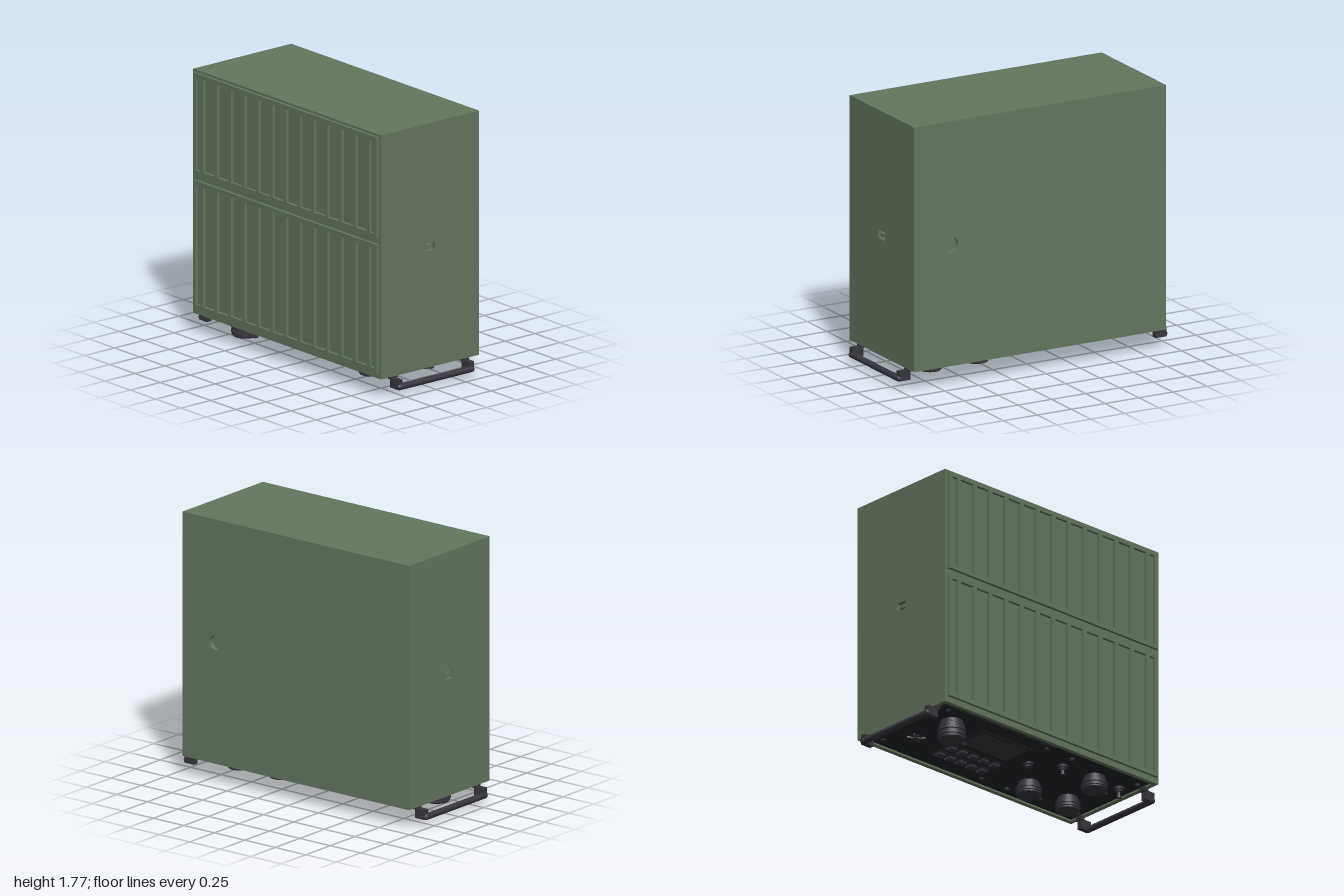
import * as THREE from 'three';
import { toCreasedNormals } from 'three/addons/utils/BufferGeometryUtils.js';

const green = new THREE.MeshStandardMaterial({ color: 0x64765f });
const black = new THREE.MeshStandardMaterial({ color: 0x222325 });
const dark = new THREE.MeshStandardMaterial({ color: 0x36363d });

const W = 0.93, BOTTOM = 0.13, TOP = 1.765, BACK = -0.42, FRONT = 0.4, SKIN = 0.03;
const PANEL = 0.143; // height of the control panel surface, which faces down

function add(parent, name, geometry, material) {
  const mesh = new THREE.Mesh(geometry, material);
  mesh.name = name;
  parent.add(mesh);
  return mesh;
}

// Box given by its limits on each axis
function box(parent, name, x0, x1, y0, y1, z0, z1, material) {
  const mesh = add(parent, name, new THREE.BoxGeometry(x1 - x0, y1 - y0, z1 - z0), material);
  mesh.position.set((x0 + x1) / 2, (y0 + y1) / 2, (z0 + z1) / 2);
  return mesh;
}

function cylinder(parent, name, r0, r1, y0, y1, x, z, material, sides = 24) {
  const geo = new THREE.CylinderGeometry(r1, r0, y1 - y0, sides);
  const mesh = add(parent, name, geo, material);
  mesh.position.set(x, (y0 + y1) / 2, z);
  return mesh;
}

function rect(Type, x0, x1, y0, y1) {
  const path = new Type();
  path.moveTo(x0, y0).lineTo(x1, y0).lineTo(x1, y1).lineTo(x0, y1).closePath();
  return path;
}

// Flat plate with holes, extruded along z
function plate(x0, x1, y0, y1, depth, holes) {
  const shape = rect(THREE.Shape, x0, x1, y0, y1);
  shape.holes.push(...holes);
  return new THREE.ExtrudeGeometry(shape, { depth, bevelEnabled: false, curveSegments: 24 });
}

function buildCase(root) {
  const g = new THREE.Group();
  g.name = 'case';
  root.add(g);
  box(g, 'caseCore', -W + SKIN, W - SKIN, 0.16, TOP - SKIN, BACK + SKIN, FRONT - SKIN, green);
  box(g, 'caseTop', -W, W, TOP - SKIN, TOP, BACK, FRONT, green);
  box(g, 'caseFront', -W, W, BOTTOM, TOP - SKIN, FRONT - SKIN, FRONT, green);

  // Back wall with a round recess
  const port = new THREE.Path().absarc(0.655, 0.94, 0.05, 0, Math.PI * 2, true);
  add(g, 'caseBack', plate(-W, W, BOTTOM, TOP - SKIN, SKIN, [port]), green).position.z = BACK;

  // Side walls with a small latch recess
  for (const side of [-1, 1]) {
    const latch = rect(THREE.Path, -0.03, 0.05, 0.91, 0.965);
    const geo = plate(-FRONT + SKIN, -BACK - SKIN, BOTTOM, TOP - SKIN, SKIN, [latch]);
    geo.rotateY(Math.PI / 2);
    add(g, 'caseSide', geo, green).position.x = side > 0 ? W - SKIN : -W;
    const x = side * (W - 0.018);
    box(g, 'latchBar', x - 0.012, x + 0.012, 0.925, 0.95, -0.035, 0.015, green);
  }
}

// Two raised covers on the front, cut by rows of upright slots
function buildFrontCovers(root) {
  const covers = [['lowerFrontCover', 0.17, 1.03, 0.2, 1.0], ['upperFrontCover', 1.07, 1.75, 1.1, 1.72]];
  for (const [name, y0, y1, s0, s1] of covers) {
    const slots = [];
    for (let i = 0; i < 12; i++) {
      const x = (i - 5.5) * 0.137;
      slots.push(rect(THREE.Path, x - 0.054, x + 0.054, s0, s1));
    }
    for (const x of [-0.861, 0.861]) slots.push(rect(THREE.Path, x - 0.024, x + 0.024, s0, s1));
    add(root, name, plate(-0.91, 0.91, y0, y1, 0.02, slots), green).position.z = FRONT;
  }
}

// Round control knob hanging from the panel, with ridges and a pointer tab
function buildKnob(root, x, z, r, y) {
  const g = new THREE.Group();
  g.name = 'knob';
  g.position.set(x, 0, z);
  root.add(g);
  const h = PANEL - y;
  const profile = [
    [0, 0], [0.86, 0], [0.93, 0.06], [0.93, 0.16], [1, 0.18], [1, 0.28], [0.93, 0.3], [0.93, 0.4],
    [1, 0.42], [1, 0.55], [0.9, 0.58], [0.9, 0.76], [0.8, 0.8], [0.8, 1],
  ].map(([a, b]) => new THREE.Vector2(a * r, y + b * h));
  add(g, 'knobBody', toCreasedNormals(new THREE.LatheGeometry(profile, 32), 0.5), dark);
  box(g, 'knobPointer', r * 0.85, r + 0.022, y + 0.006, y + 0.016, -0.012, 0.012, dark);
  box(g, 'knobMark', r * 0.35, r * 0.8, y - 0.001, y + 0.005, -0.005, 0.005, black);
}

// Toggle switch: collar, nut and lever
function buildSwitch(root, x, z, y) {
  const g = new THREE.Group();
  g.name = 'toggleSwitch';
  root.add(g);
  cylinder(g, 'switchCollar', 0.034, 0.036, PANEL - 0.015, PANEL, x, z, dark);
  cylinder(g, 'switchNut', 0.024, 0.024, PANEL - 0.03, PANEL - 0.015, x, z, dark, 6);
  cylinder(g, 'switchLever', 0.015, 0.009, y, PANEL - 0.03, x, z, dark, 12);
}

function buildPanel(root) {
  const g = new THREE.Group();
  g.name = 'controlPanel';
  root.add(g);
  box(g, 'panelPlate', -W + SKIN, W - SKIN, PANEL, 0.165, BACK + SKIN, FRONT - SKIN, black);
  box(g, 'displayPlate', -0.86, 0.09, PANEL - 0.006, PANEL, -0.35, 0.34, black);

  // Display window in a thin frame
  const frame = plate(-0.44, -0.01, -0.23, 0.02, 0.008, [rect(THREE.Path, -0.42, -0.03, -0.21, 0)]);
  frame.rotateX(-Math.PI / 2);
  add(g, 'displayFrame', frame, black).position.y = PANEL - 0.012;
  box(g, 'displayWindow', -0.42, -0.03, PANEL - 0.008, PANEL, 0, 0.21, dark);

  // Two rows of keys
  for (let row = 0; row < 2; row++) {
    for (let i = 0; i < 5; i++) {
      const x = -0.04 - i * 0.092, z = -0.215 + row * 0.115;
      box(g, 'keyBase', x - 0.036, x + 0.036, PANEL - 0.012, PANEL, z - 0.04, z + 0.04, black);
      box(g, 'key', x - 0.026, x + 0.026, PANEL - 0.026, PANEL, z - 0.028, z + 0.028, dark);
    }
  }

  buildKnob(g, -0.67, 0.183, 0.093, 0);
  buildKnob(g, 0.325, -0.165, 0.085, 0.048);
  buildKnob(g, 0.665, -0.165, 0.082, 0.044);
  buildKnob(g, 0.575, 0.183, 0.085, 0.044);

  buildSwitch(g, 0.8, 0.17, 0.07);
  buildSwitch(g, 0.31, 0.17, 0.08);
  buildSwitch(g, 0.12, 0.05, 0.107);

  // Low rotary selector with two crossed vanes
  cylinder(g, 'selectorBase', 0.035, 0.04, PANEL - 0.012, PANEL, -0.68, -0.14, dark);
  for (const turn of [0.6, -0.6]) {
    const vane = box(g, 'selectorVane', -0.74, -0.62, PANEL - 0.016, PANEL, -0.147, -0.133, dark);
    vane.rotation.y = turn;
  }

  // Panel screws
  const screws = [[0.28, -0.32], [0.85, -0.32], [0.85, 0.29], [0.28, 0.29],
    [0.05, -0.31], [0.05, 0.3], [-0.81, -0.31], [-0.81, 0.3]];
  for (const [x, z] of screws) cylinder(g, 'screw', 0.015, 0.018, PANEL - 0.014, PANEL, x, z, dark, 12);
}

// Guard handles beside the panel: round bar, end arms and mounting feet
function buildHandles(root) {
  for (const side of [-1, 1]) {
    const g = new THREE.Group();
    g.name = side > 0 ? 'leftHandle' : 'rightHandle';
    root.add(g);
    const span = (name, a, b, y0, y1, z0, z1) =>
      box(g, name, Math.min(a * side, b * side), Math.max(a * side, b * side), y0, y1, z0, z1, dark);
    for (const z of [0.287, -0.312]) {
      span('handleArm', 0.906, 0.985, 0.053, 0.118, z - 0.019, z + 0.019);
      span('handleFoot', 0.892, 0.925, 0.11, 0.15, z - 0.026, z + 0.026);
      const end = add(g, 'handleCorner', new THREE.SphereGeometry(0.021, 16, 12), dark);
      end.position.set(side * 0.979, 0.069, z);
    }
    const bar = new THREE.CylinderGeometry(0.021, 0.021, 0.6, 16);
    bar.rotateX(Math.PI / 2);
    add(g, 'handleBar', bar, dark).position.set(side * 0.979, 0.069, -0.0125);
  }
}

export function createModel() {
  const root = new THREE.Group();
  root.name = 'equipmentCase';
  buildCase(root);
  buildFrontCovers(root);
  buildPanel(root);
  buildHandles(root);
  return root;
}
